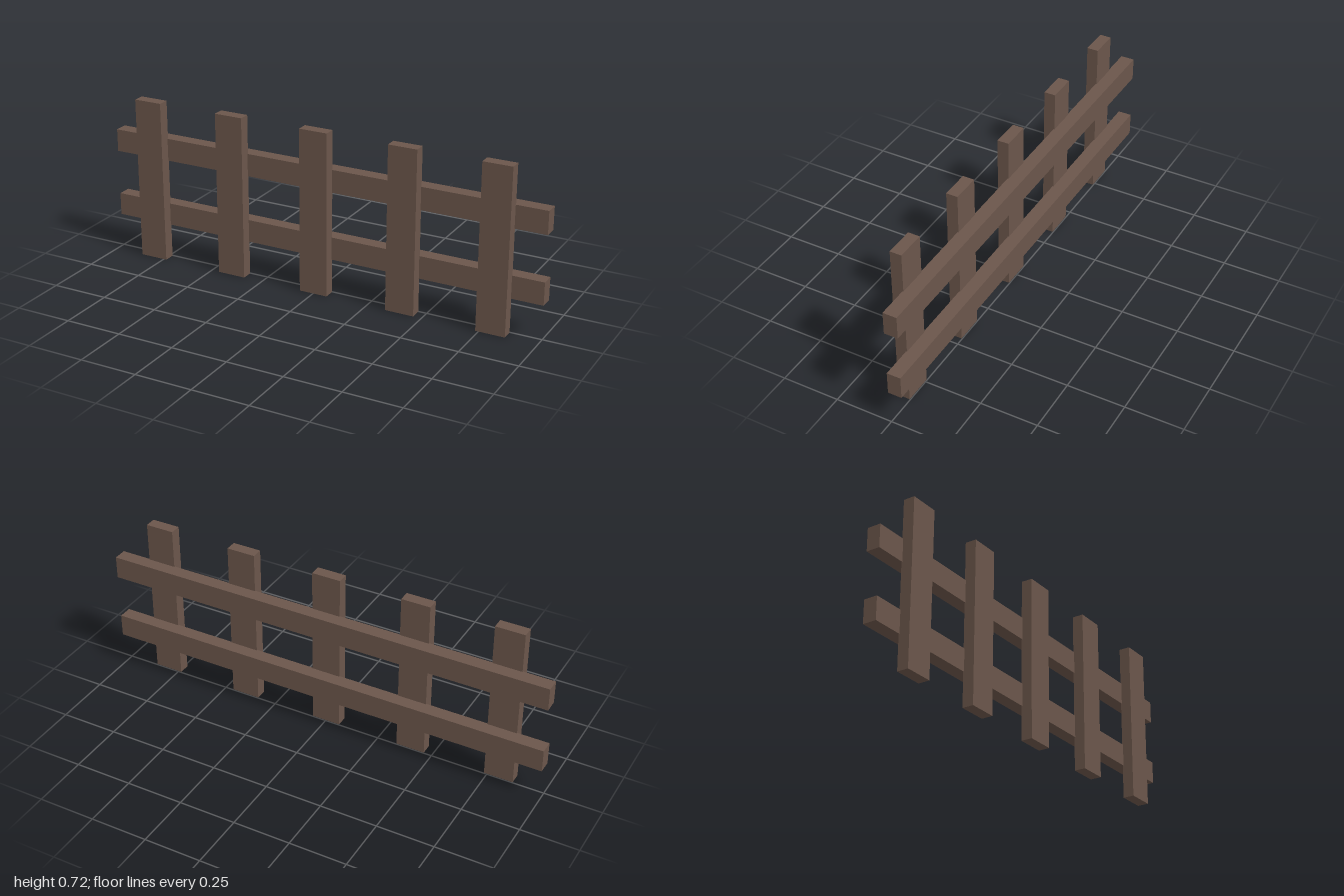
import * as THREE from 'three';

export function createModel() {
  const model = new THREE.Group();
  model.name = 'fence';
  const wood = new THREE.MeshStandardMaterial({ color: 0x6b564b });
  wood.name = 'brown wood';

  const addBoard = (name, geometry, x, y, z) => {
    const board = new THREE.Mesh(geometry, wood);
    board.name = name;
    board.position.set(x, y, z);
    model.add(board);
  };

  // Upright pickets along the front
  const picketGeometry = new THREE.BoxGeometry(0.127, 0.722, 0.05);
  for (let i = 0; i < 5; i++) {
    addBoard(`picket${i + 1}`, picketGeometry, (i - 2) * 0.4, 0.361, 0.028);
  }

  // Two long rails behind, slightly sunk into the pickets
  const railGeometry = new THREE.BoxGeometry(2, 0.1, 0.06);
  addBoard('lowerRail', railGeometry, 0, 0.201, -0.023);
  addBoard('upperRail', railGeometry, 0, 0.501, -0.023);

  return model;
}
